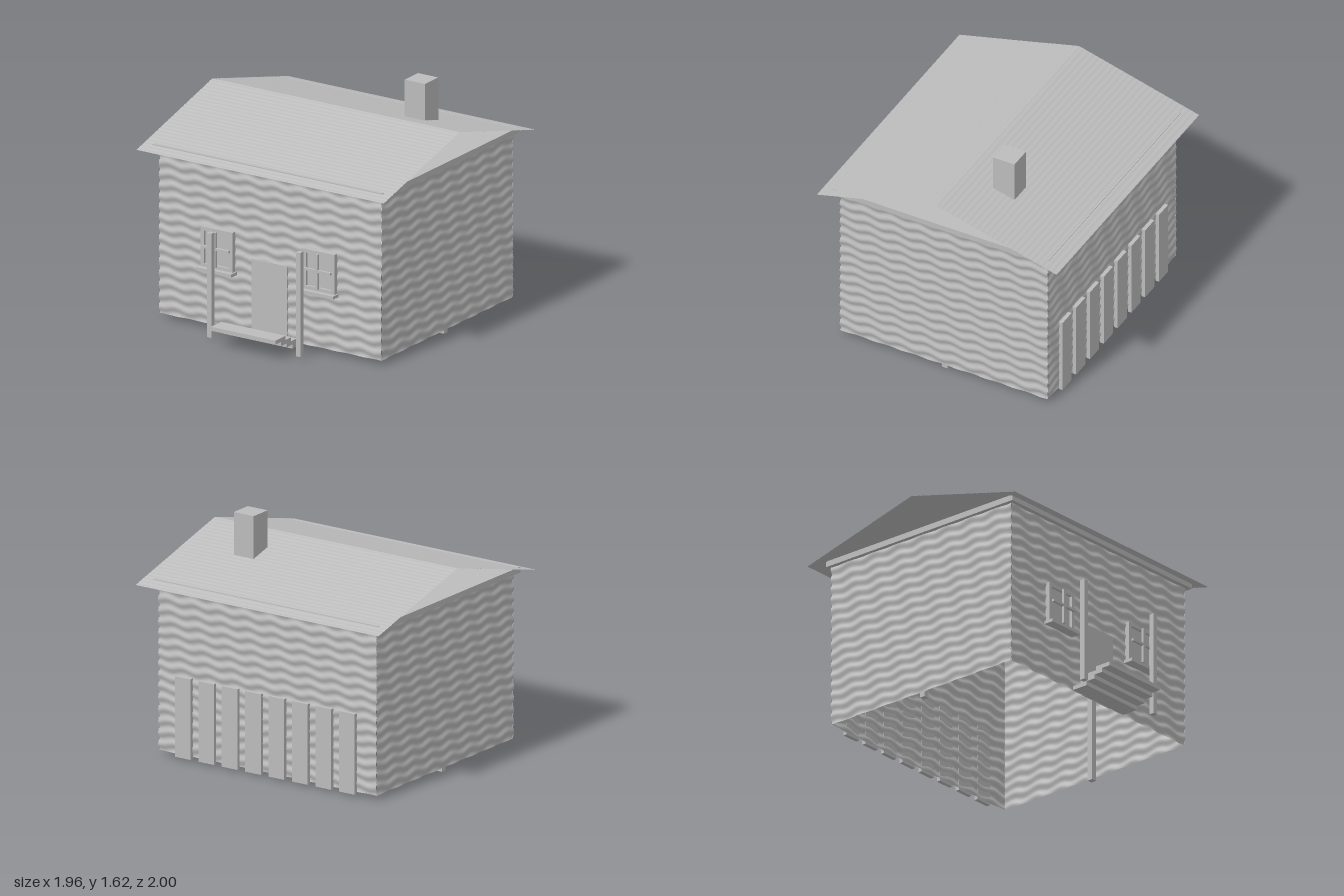
import * as THREE from 'three';

export function createModel() {
  const model = new THREE.Group();
  model.name = 'cabin';
  const grey = new THREE.MeshStandardMaterial({ color: 0xbcbcbc, side: THREE.DoubleSide });
  grey.name = 'plain grey';

  const add = (name, geometry, parent = model) => {
    const mesh = new THREE.Mesh(geometry, grey);
    mesh.name = name;
    parent.add(mesh);
    return mesh;
  };
  // Box given by its limits on each axis
  const box = (name, x0, x1, y0, y1, z0, z1) => {
    const mesh = add(name, new THREE.BoxGeometry(x1 - x0, y1 - y0, z1 - z0));
    mesh.position.set((x0 + x1) / 2, (y0 + y1) / 2, (z0 + z1) / 2);
    return mesh;
  };
  // Sheet facing +z, pushed in and out by a rule
  const rippled = (w, h, nx, ny, rule) => {
    const g = new THREE.PlaneGeometry(w, h, nx, ny);
    const p = g.attributes.position;
    for (let i = 0; i < p.count; i++) p.setZ(i, rule(p.getX(i), p.getY(i)));
    g.computeVertexNormals();
    return g;
  };

  // Log walls, open below
  const logs = (x, y) => 0.005 * Math.sin(y * 82 + 0.9 * Math.sin(x * 30 + y * 8));
  const walls = [
    ['frontWall', 1.76, 0, 0.68, 0],
    ['backWall', 1.76, 0, -0.88, Math.PI],
    ['leftWall', 1.56, 0.88, -0.1, Math.PI / 2],
    ['rightWall', 1.56, -0.88, -0.1, -Math.PI / 2],
  ];
  for (const [name, width, x, z, turn] of walls) {
    const wall = add(name, rippled(width, 1.14, 64, 120, logs));
    wall.position.set(x, 0.6, z);
    wall.rotation.y = turn;
  }

  // Ceiling slab and open gabled roof
  box('ceilingSlab', -0.91, 0.91, 1.17, 1.21, -0.9, 0.715);
  const roof = new THREE.Group();
  roof.name = 'roof';
  roof.position.z = -0.1;
  model.add(roof);
  const run = 0.9, rise = 0.24, slope = Math.hypot(run, rise);
  for (const [name, turn] of [['frontSlope', 0], ['backSlope', Math.PI]]) {
    const side = new THREE.Group();
    side.rotation.y = turn;
    roof.add(side);
    const sheet = add(name, rippled(1.96, slope, 1, 192,
      (x, y) => 0.001 * Math.sin((y / slope + 0.5) * Math.PI * 48)), side);
    sheet.position.set(0, 1.18 + rise / 2, run / 2);
    sheet.rotation.x = -Math.atan2(run, rise);
  }
  box('chimney', 0.41, 0.57, 1.29, 1.62, -0.46, -0.3);

  // Door and steps
  box('door', -0.14, 0.14, 0.04, 0.55, 0.66, 0.692);
  for (let i = 0; i < 4; i++) {
    const y = 0.031 + i * 0.028, z = 0.68 + i * 0.0665;
    box('step', -0.255, 0.255, y, y + 0.028, z, z + 0.12);
  }

  // Windows, porch posts and inner posts on both sides
  for (const s of [-1, 1]) {
    const cx = s * 0.403;
    const frame = new THREE.Shape([[-0.127, 0.43], [0.127, 0.43], [0.127, 0.71], [-0.127, 0.71]]
      .map(([x, y]) => new THREE.Vector2(x, y)));
    frame.holes.push(new THREE.Path([[-0.1, 0.455], [-0.1, 0.685], [0.1, 0.685], [0.1, 0.455]]
      .map(([x, y]) => new THREE.Vector2(x, y))));
    add('windowFrame', new THREE.ExtrudeGeometry(frame, { depth: 0.035, bevelEnabled: false }))
      .position.set(cx, 0, 0.677);
    box('windowPane', cx - 0.1, cx + 0.1, 0.455, 0.685, 0.685, 0.694);
    box('windowMullion', cx - 0.009, cx + 0.009, 0.45, 0.695, 0.72, 0.738);
    box('windowCrossbar', cx - 0.11, cx + 0.11, 0.57, 0.587, 0.72, 0.738);
    box('windowSill', cx - 0.138, cx + 0.138, 0.41, 0.432, 0.68, 0.748);
    box('porchPost', s * 0.352 - 0.018, s * 0.352 + 0.018, 0.015, 0.74, 0.84, 0.877);
    box('innerPost', s * 0.85 - 0.02, s * 0.85 + 0.02, 0, 1.17, -0.12, -0.08);
  }

  // Row of planks leaning on the back wall
  for (let i = 0; i < 8; i++) {
    const x = -0.66 + i * 0.1895;
    box('backPlank', x - 0.063, x + 0.063, 0.016, 0.572, -0.907, -0.88);
  }
  return model;
}
